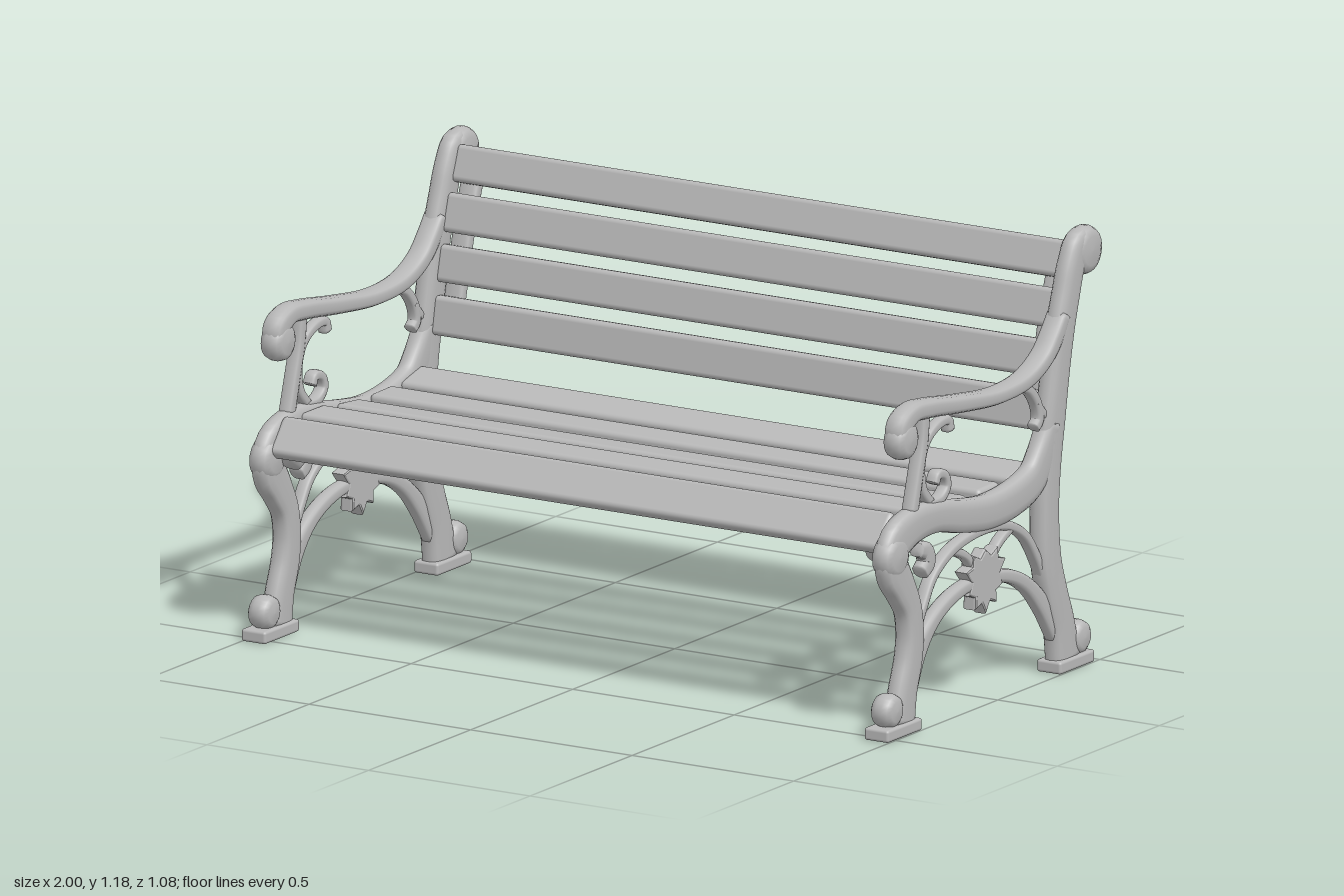
import * as THREE from 'three';
import { RoundedBoxGeometry } from 'three/addons/geometries/RoundedBoxGeometry.js';

const castGrey = new THREE.MeshStandardMaterial({ color: 0xb8b8b8 });
castGrey.name = 'cast grey';

function part(name, geometry, parent) {
  const mesh = new THREE.Mesh(geometry, castGrey);
  mesh.name = name;
  parent.add(mesh);
  return mesh;
}

// Curved bar in the z-y plane; points are [z, y, half width], halfX is half its thickness
function barGeometry(points, halfX, steps = points.length * 5, sides = 14) {
  const curve = new THREE.CatmullRomCurve3(points.map(([z, y, w]) => new THREE.Vector3(w, y, z)));
  const pos = [], index = [];
  const soft = (v) => Math.sign(v) * Math.abs(v) ** 0.65;
  for (let i = 0; i <= steps; i++) {
    const p = curve.getPoint(i / steps);
    const t = curve.getTangent(i / steps);
    const len = Math.hypot(t.y, t.z) || 1;
    const ny = -t.z / len, nz = t.y / len;
    for (let j = 0; j < sides; j++) {
      const a = (j / sides) * Math.PI * 2;
      const c = soft(Math.cos(a)) * p.x;
      pos.push(soft(Math.sin(a)) * halfX, p.y + ny * c, p.z + nz * c);
    }
  }
  for (let i = 0; i < steps; i++) {
    for (let j = 0; j < sides; j++) {
      const k = (j + 1) % sides;
      const a = i * sides + j, b = i * sides + k;
      index.push(a, b, b + sides, a, b + sides, a + sides);
    }
  }
  // End caps
  const first = points[0], last = points[points.length - 1];
  const c0 = pos.length / 3;
  pos.push(0, first[1], first[0], 0, last[1], last[0]);
  for (let j = 0; j < sides; j++) {
    const k = (j + 1) % sides;
    index.push(c0, k, j, c0 + 1, steps * sides + j, steps * sides + k);
  }
  const g = new THREE.BufferGeometry();
  g.setAttribute('position', new THREE.Float32BufferAttribute(pos, 3));
  g.setIndex(index);
  g.computeVertexNormals();
  return g;
}

// Rounded disc for scroll ends, axis along x
function discGeometry(z, y, r, halfX) {
  const profile = [[0, -1], [0.6, -0.95], [0.88, -0.7], [1, -0.25], [1, 0.25], [0.88, 0.7], [0.6, 0.95], [0, 1]]
    .map(([a, b]) => new THREE.Vector2(a * r, b * halfX));
  return new THREE.LatheGeometry(profile, 20).rotateZ(Math.PI / 2).translate(0, y, z);
}

// Lobed leaf, drawn as tips and notches around its centre
function leafGeometry() {
  const outline = [
    [0, -0.085], [0.018, -0.055], [0.048, -0.066], [0.046, -0.035], [0.075, -0.025], [0.062, 0.005],
    [0.09, 0.035], [0.058, 0.042], [0.055, 0.07], [0.025, 0.055], [0, 0.075]];
  const mirrored = outline.slice(1, -1).reverse().map(([x, y]) => [-x, y]);
  const shape = new THREE.Shape([...outline, ...mirrored].map(([x, y]) => new THREE.Vector2(x, y)));
  return new THREE.ExtrudeGeometry(shape, {
    depth: 0.025, bevelEnabled: true, bevelSize: 0.006, bevelThickness: 0.008, bevelSegments: 2,
  }).translate(0, 0, -0.0125).rotateY(-Math.PI / 2).translate(0, 0.33, 0.03);
}

function sideFrame(x, name) {
  const frame = new THREE.Group();
  frame.name = name;
  frame.position.x = x;
  const bar = (n, pts, halfX) => part(n, barGeometry(pts, halfX), frame);
  const disc = (n, z, y, r, halfX) => part(n, discGeometry(z, y, r, halfX), frame);

  // Back leg and post in one sweep, ending in a scroll
  bar('backPost', [
    [-0.375, 0.02, 0.062], [-0.355, 0.12, 0.054], [-0.322, 0.21, 0.052], [-0.292, 0.31, 0.05],
    [-0.285, 0.45, 0.045], [-0.294, 0.57, 0.047], [-0.312, 0.68, 0.049], [-0.335, 0.8, 0.046],
    [-0.36, 0.915, 0.046], [-0.39, 1.01, 0.043], [-0.415, 1.08, 0.042], [-0.45, 1.128, 0.045],
    [-0.485, 1.115, 0.045]], 0.029);
  disc('backScroll', -0.472, 1.11, 0.066, 0.034);

  // Seat rail rolling over into the front leg
  bar('seatRailAndFrontLeg', [
    [-0.305, 0.68, 0.03], [-0.265, 0.6, 0.044], [-0.22, 0.545, 0.05], [-0.13, 0.515, 0.05], [0, 0.505, 0.048],
    [0.13, 0.522, 0.046], [0.27, 0.55, 0.044], [0.38, 0.545, 0.052], [0.455, 0.51, 0.058],
    [0.463, 0.455, 0.058], [0.425, 0.395, 0.05], [0.387, 0.33, 0.042], [0.375, 0.26, 0.042],
    [0.383, 0.19, 0.044], [0.41, 0.11, 0.046], [0.43, 0.02, 0.056]], 0.029);
  disc('frontScroll', 0.468, 0.485, 0.06, 0.034);

  // Feet: base plate and rounded toe
  for (const [n, plateZ, toeZ] of [['front', 0.455, 0.485], ['back', -0.39, -0.435]]) {
    part(n + 'FootPlate', new RoundedBoxGeometry(0.076, 0.034, 0.17, 2, 0.008), frame)
      .position.set(0, 0.017, plateZ);
    disc(n + 'Toe', toeZ, 0.073, 0.046, 0.034);
  }

  // Armrest with its scroll
  bar('armrest', [
    [-0.355, 0.96, 0.022], [-0.32, 0.91, 0.027], [-0.27, 0.862, 0.025], [-0.18, 0.822, 0.023],
    [-0.04, 0.81, 0.022], [0.14, 0.828, 0.024], [0.3, 0.85, 0.026], [0.38, 0.853, 0.028],
    [0.425, 0.825, 0.036], [0.42, 0.79, 0.04]], 0.031);
  disc('armScroll', 0.417, 0.79, 0.053, 0.035);

  // Arm supports and curls
  bar('armSupport', [[0.375, 0.58, 0.02], [0.35, 0.67, 0.018], [0.325, 0.76, 0.018], [0.315, 0.84, 0.02]], 0.02);
  bar('armBrace', [
    [0.28, 0.59, 0.014], [0.32, 0.635, 0.014], [0.33, 0.7, 0.014], [0.305, 0.76, 0.014],
    [0.25, 0.793, 0.014], [0.195, 0.795, 0.014], [0.187, 0.768, 0.016]], 0.016);
  bar('seatCurl', [
    [0.29, 0.59, 0.012], [0.235, 0.592, 0.014], [0.205, 0.62, 0.014], [0.215, 0.65, 0.014],
    [0.25, 0.66, 0.014], [0.262, 0.638, 0.015]], 0.018);
  bar('rearArmBrace', [
    [-0.14, 0.81, 0.012], [-0.2, 0.79, 0.014], [-0.24, 0.745, 0.015], [-0.25, 0.7, 0.016],
    [-0.23, 0.68, 0.016]], 0.016);
  bar('rearArmStem', [[-0.235, 0.75, 0.012], [-0.265, 0.715, 0.012], [-0.3, 0.69, 0.012]], 0.016);

  // Openwork below the seat
  bar('upperArch', [
    [0.355, 0.26, 0.016], [0.32, 0.32, 0.014], [0.27, 0.39, 0.014], [0.18, 0.44, 0.014], [0.04, 0.462, 0.014],
    [-0.09, 0.448, 0.014], [-0.18, 0.4, 0.014], [-0.235, 0.33, 0.014], [-0.275, 0.26, 0.016]], 0.018);
  bar('lowerArch', [
    [0.39, 0.1, 0.03], [0.34, 0.2, 0.028], [0.27, 0.27, 0.022], [0.17, 0.315, 0.019], [0.04, 0.33, 0.018],
    [-0.09, 0.312, 0.019], [-0.185, 0.268, 0.022], [-0.265, 0.195, 0.028], [-0.335, 0.1, 0.03]], 0.02);
  for (const s of [1, -1]) {
    bar('leafStem', [
      [0.03 + s * 0.04, 0.365, 0.012], [0.03 + s * 0.075, 0.405, 0.012], [0.03 + s * 0.14, 0.438, 0.013]], 0.016);
  }
  part('leaf', leafGeometry(), frame);
  bar('underSeatCurl', [
    [0.34, 0.475, 0.018], [0.305, 0.465, 0.026], [0.295, 0.435, 0.028], [0.325, 0.41, 0.022]], 0.02);
  return frame;
}

export function createModel() {
  const bench = new THREE.Group();
  bench.name = 'bench';
  bench.add(sideFrame(0.964, 'leftFrame'), sideFrame(-0.964, 'rightFrame'));

  // Slats: [z, y, tilt about x, width]
  const slat = (name, [z, y, tilt, width]) => {
    const mesh = part(name, new RoundedBoxGeometry(1.89, 0.04, width, 3, 0.014), bench);
    mesh.position.set(0, y, z);
    mesh.rotation.x = tilt;
  };
  [[0.447, 0.54, 0.85, 0.115], [0.288, 0.562, 0, 0.115], [0.115, 0.545, -0.1, 0.11],
    [-0.05, 0.54, 0.02, 0.105], [-0.2, 0.552, 0.25, 0.11]].forEach((s) => slat('seatSlat', s));
  [[-0.32, 0.703, 1.39, 0.105], [-0.345, 0.838, 1.34, 0.1], [-0.378, 0.968, 1.28, 0.105],
    [-0.425, 1.09, 1.2, 0.1]].forEach((s) => slat('backSlat', s));

  // Cleats that carry the slat ends
  for (const s of [1, -1]) {
    part('seatCleat', barGeometry([
      [0.45, 0.48, 0.026], [0.37, 0.515, 0.026], [0.28, 0.525, 0.025], [0.12, 0.508, 0.025], [-0.05, 0.5, 0.025],
      [-0.23, 0.495, 0.03]], 0.03), bench).position.x = s * 0.905;
    part('backCleat', barGeometry([
      [-0.335, 0.65, 0.018], [-0.37, 0.8, 0.018], [-0.412, 0.96, 0.02], [-0.465, 1.11, 0.02]], 0.03), bench)
      .position.x = s * 0.905;
  }
  return bench;
}
